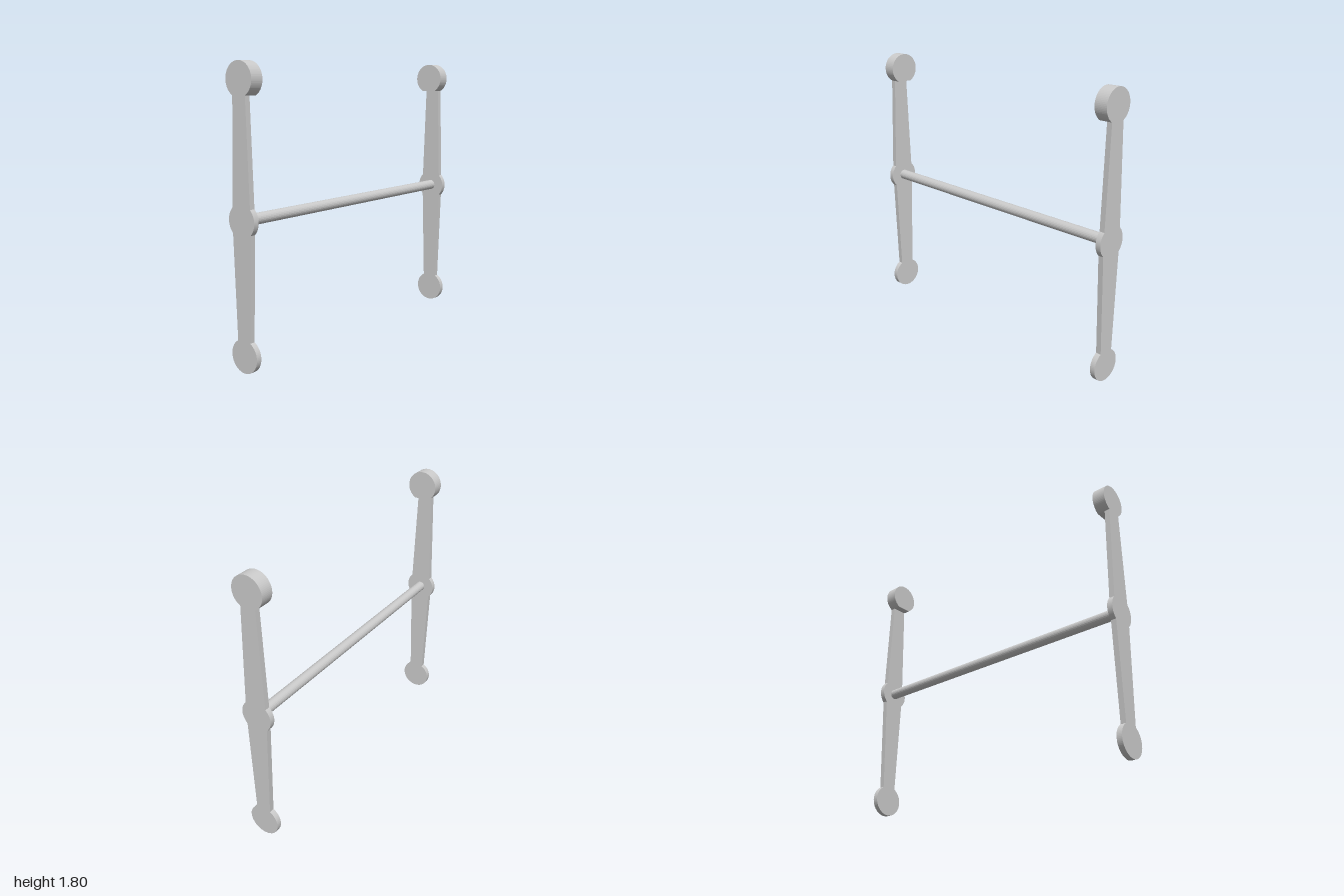
import * as THREE from 'three';

const R = 0.1025;            // radius of every rounded lobe
const LOW = R, MID = 0.9, HIGH = 1.695;
const NECK = 0.05, WAIST = 0.071; // half widths of the tapered bar
const PLATE = 0.035, KNOB = 0.05, ROD_R = 0.034;

const neckAngle = Math.asin(NECK / R);
const waistAngle = Math.acos(WAIST / R);

// Bar outline: round foot, tapered shanks, rounded waist, round head
function postShape() {
  const s = new THREE.Shape(), q = Math.PI / 2;
  s.absarc(0, LOW, R, q + neckAngle, 2 * Math.PI + q - neckAngle, false);
  s.absarc(0, MID, R, -waistAngle, waistAngle, false);
  s.absarc(0, HIGH, R, -q + neckAngle, 3 * q - neckAngle, false);
  s.absarc(0, MID, R, Math.PI - waistAngle, Math.PI + waistAngle, false);
  s.closePath();
  return s;
}

// Head disc, cut straight where it meets the neck
function headShape() {
  const s = new THREE.Shape(), q = Math.PI / 2;
  s.absarc(0, HIGH, R, -q + neckAngle, 3 * q - neckAngle, false);
  s.closePath();
  return s;
}

// Extrudes a side outline along x, starting at x0
function slab(shape, depth, x0) {
  const g = new THREE.ExtrudeGeometry(shape, { depth, bevelEnabled: false, curveSegments: 28 });
  g.rotateY(Math.PI / 2);
  g.translate(x0, 0, 0);
  return g;
}

export function createModel() {
  const model = new THREE.Group();
  model.name = 'crossbarFrame';
  const mat = new THREE.MeshStandardMaterial({ color: 0xcccccc, flatShading: true });
  const add = (name, geometry) => {
    const mesh = new THREE.Mesh(geometry, mat);
    mesh.name = name;
    model.add(mesh);
    return mesh;
  };

  // Two upright posts, each with a knob facing inward at the head
  for (const [side, sign] of [['left', 1], ['right', -1]]) {
    const inner = 1 - PLATE;
    add(side + 'Post', slab(postShape(), PLATE, sign > 0 ? inner : -1));
    add(side + 'Knob', slab(headShape(), KNOB, sign > 0 ? inner - KNOB : -inner));
  }

  // Round crossbar joining the posts at the waist
  const rod = new THREE.CylinderGeometry(ROD_R, ROD_R, 2 * (1 - PLATE), 24);
  rod.rotateZ(Math.PI / 2);
  add('crossbar', rod).position.y = MID;

  return model;
}
